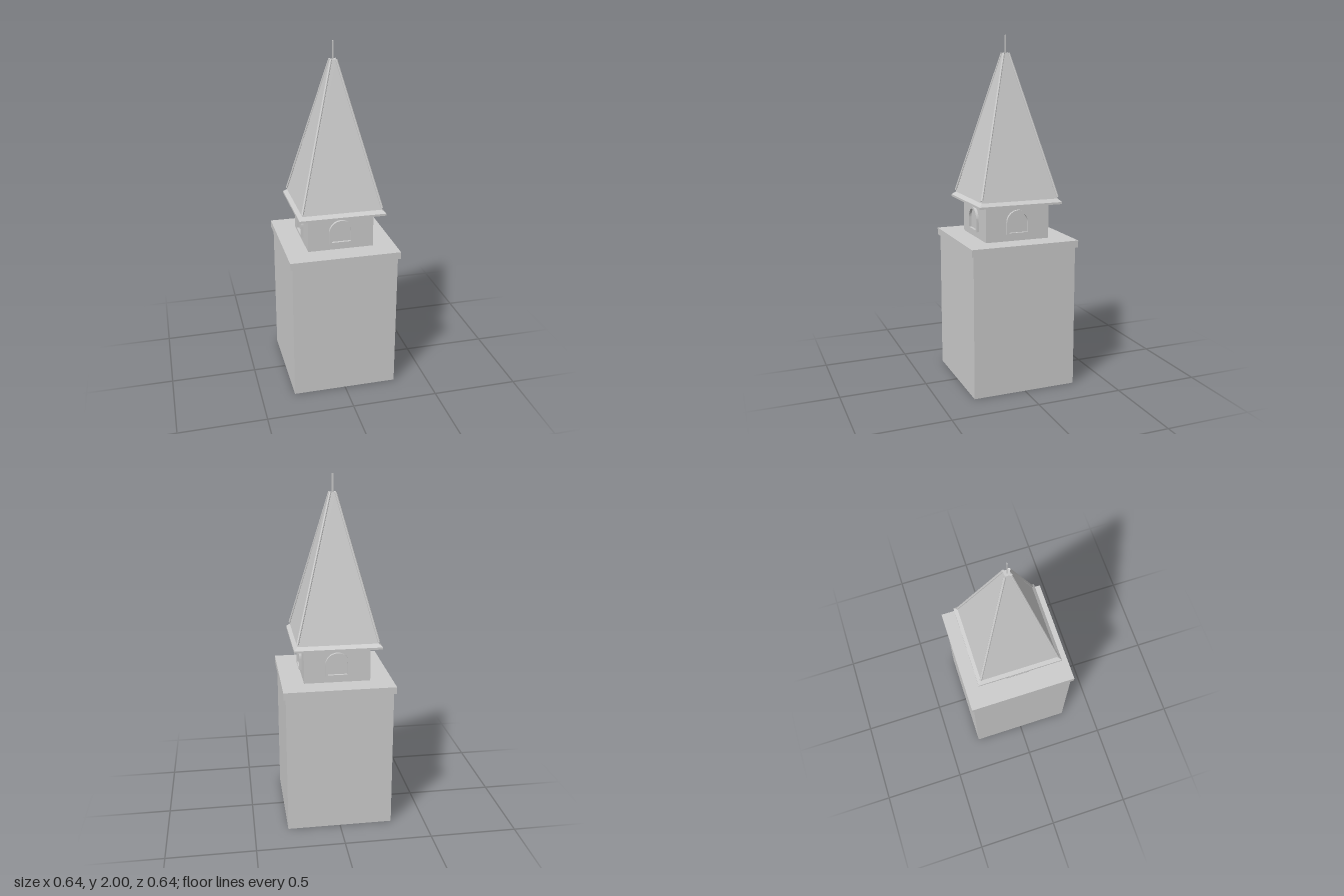
import * as THREE from 'three';

export function createModel() {
  const tower = new THREE.Group();
  tower.name = 'tower';
  const stone = new THREE.MeshStandardMaterial({ color: 0xcccccc, flatShading: true });
  stone.name = 'grey stone';

  const add = (name, geometry, parent = tower) => {
    const mesh = new THREE.Mesh(geometry, stone);
    mesh.name = name;
    parent.add(mesh);
    return mesh;
  };
  // Square block or tapered block, given half widths and heights
  const block = (name, bottomHalf, topHalf, y0, y1) => {
    const g = new THREE.CylinderGeometry(topHalf * Math.SQRT2, bottomHalf * Math.SQRT2, y1 - y0, 4, 1, false, Math.PI / 4);
    g.translate(0, (y0 + y1) / 2, 0);
    return add(name, g);
  };

  // Shaft, ledge and belfry
  block('shaft', 0.305, 0.305, 0, 0.817);
  block('ledge', 0.318, 0.318, 0.817, 0.858);
  block('belfry', 0.19, 0.19, 0.858, 1.05);
  block('neck', 0.18, 0.18, 1.05, 1.062);

  // Eave with sloped upper edge, then the steep roof
  block('eave', 0.248, 0.248, 1.06, 1.072);
  block('eaveSlope', 0.248, 0.228, 1.072, 1.09);
  block('roof', 0.228, 0.016, 1.09, 1.9);

  // Ridge rods along the four hips
  const up = new THREE.Vector3(0, 1, 0);
  for (const sx of [-1, 1]) {
    for (const sz of [-1, 1]) {
      const a = new THREE.Vector3(sx * 0.228, 1.1, sz * 0.228);
      const b = new THREE.Vector3(sx * 0.015, 1.9, sz * 0.015);
      const dir = b.clone().sub(a);
      const rod = add('ridge', new THREE.CylinderGeometry(0.007, 0.007, dir.length(), 8));
      rod.position.copy(a).add(b).multiplyScalar(0.5);
      rod.quaternion.setFromUnitVectors(up, dir.normalize());
    }
  }

  // Finial
  const finial = add('finial', new THREE.BoxGeometry(0.009, 0.1, 0.004));
  finial.position.y = 1.95;

  // Arched window frames, one on each face of the belfry
  const arch = (path, r, bottom) => {
    path.moveTo(-r, bottom);
    path.lineTo(r, bottom);
    path.lineTo(r, 0.965);
    path.absarc(0, 0.965, r, 0, Math.PI, false);
    path.lineTo(-r, bottom);
    return path;
  };
  const frameShape = arch(new THREE.Shape(), 0.07, 0.897);
  frameShape.holes.push(arch(new THREE.Path(), 0.056, 0.906));
  const frameGeometry = new THREE.ExtrudeGeometry(frameShape, { depth: 0.02, bevelEnabled: false, curveSegments: 12 });
  frameGeometry.translate(0, 0, 0.185);
  for (let i = 0; i < 4; i++) {
    add('windowFrame', frameGeometry).rotation.y = i * Math.PI / 2;
  }

  return tower;
}
